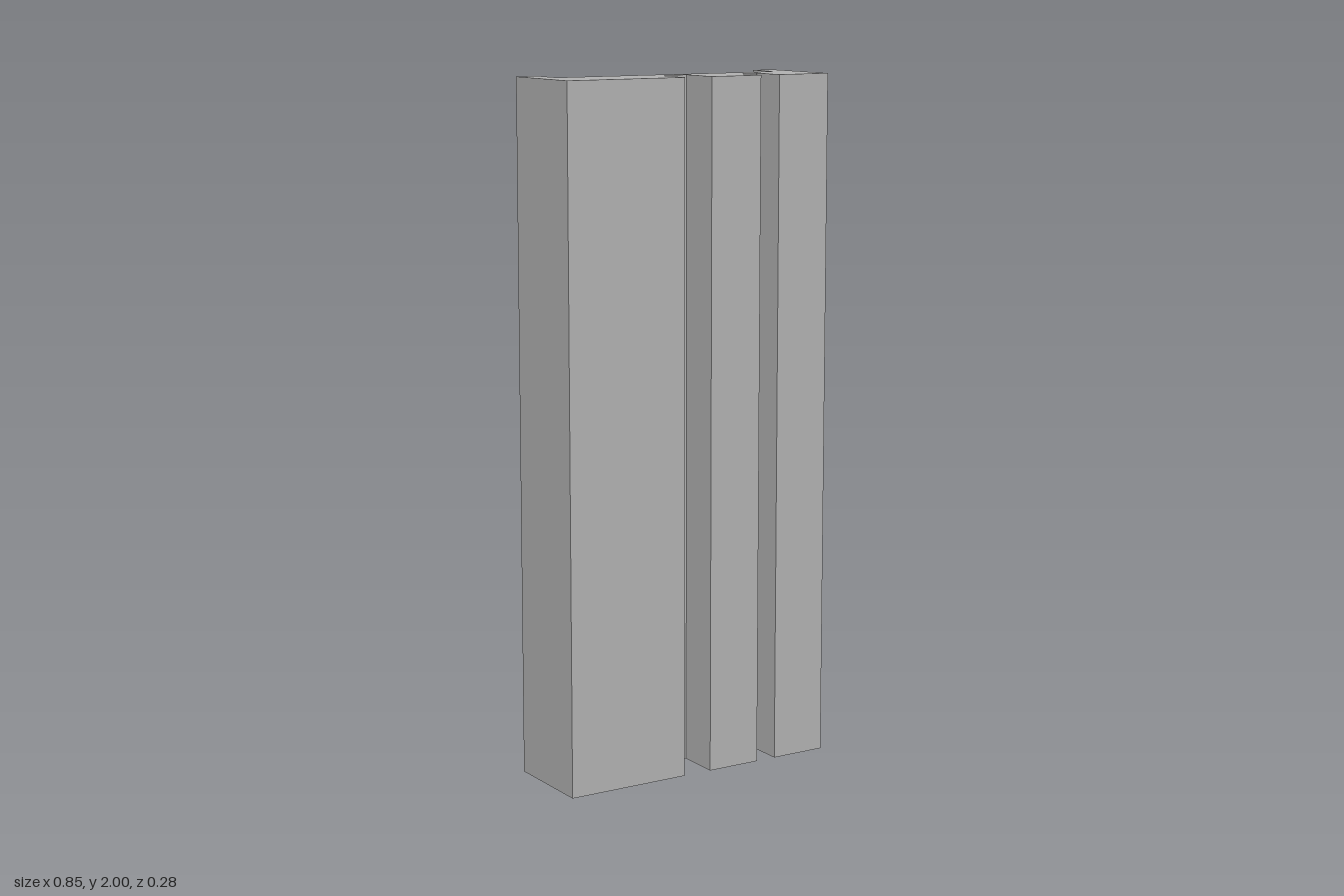
import * as THREE from 'three';

export function createModel() {
  const model = new THREE.Group();
  const grey = new THREE.MeshStandardMaterial({ color: 0xb2b2b2 });
  grey.name = 'grey';

  // Constant cross-section in plan, as [x, z] corners
  const halfWidth = 0.427, front = 0.141, back = -0.141, backFace = -0.03;
  const section = [
    [-halfWidth, front],
    // wide groove
    [-0.055, front], [-0.055, 0.011], [0.034, 0.011], [0.034, front],
    // narrow groove
    [0.198, front], [0.198, 0.027], [0.26, 0.027], [0.26, front],
    [halfWidth, front],
    // rear flanges with the recess between them
    [halfWidth, back], [0.36, back], [0.36, backFace],
    [-0.36, backFace], [-0.36, back], [-halfWidth, back],
  ];
  const shape = new THREE.Shape(section.map(([x, z]) => new THREE.Vector2(x, -z)));

  // Extrude the section upwards to full height
  const geometry = new THREE.ExtrudeGeometry(shape, { depth: 2, bevelEnabled: false });
  geometry.rotateX(-Math.PI / 2);

  const panel = new THREE.Mesh(geometry, grey);
  panel.name = 'groovedPanel';
  model.add(panel);
  return model;
}
